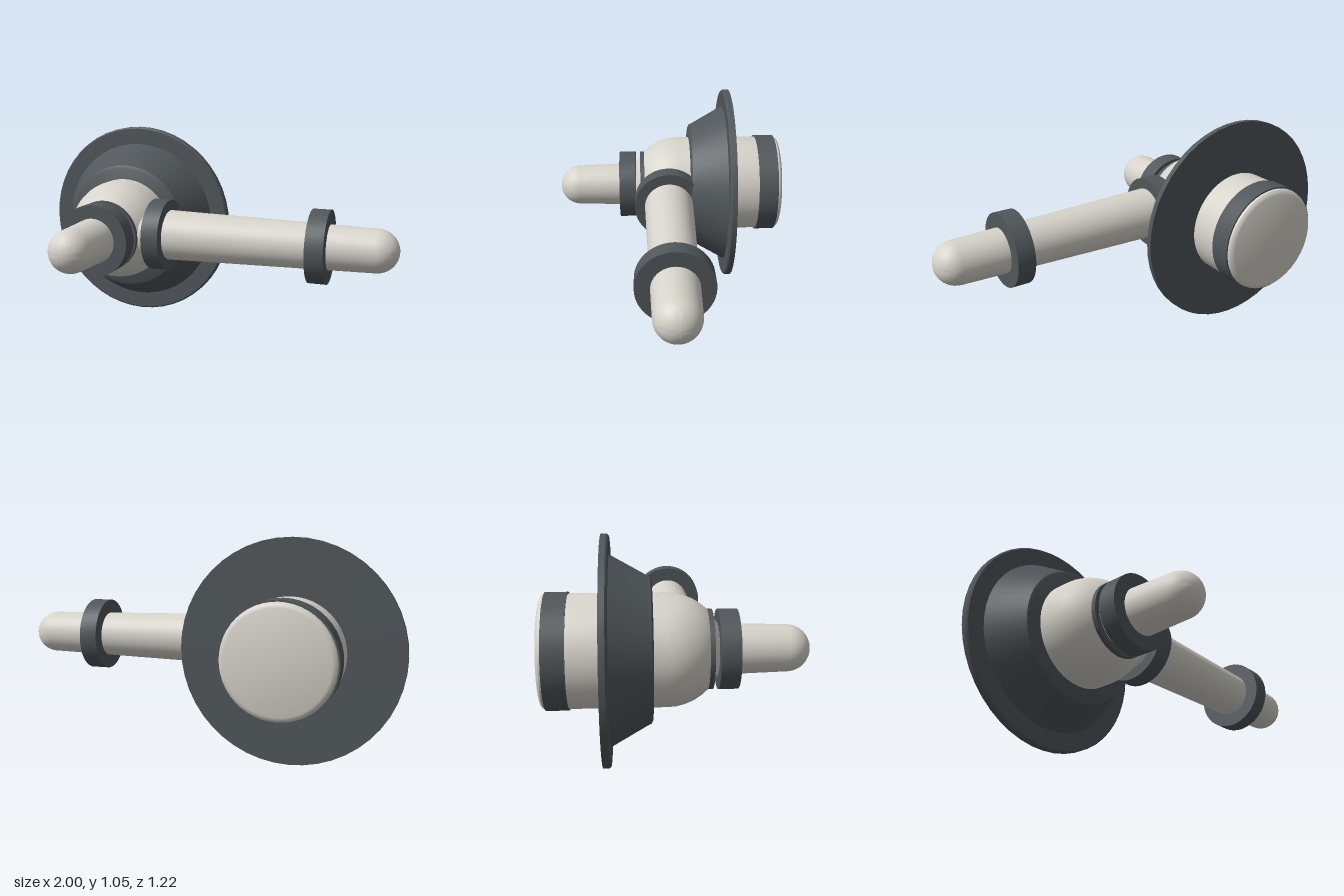
import * as THREE from 'three';
import { toCreasedNormals } from 'three/addons/utils/BufferGeometryUtils.js';

const AXIS_X = -0.477, AXIS_Y = 0.525, LEVER_Z = 0.01;

export function createModel() {
  const group = new THREE.Group();
  const ivory = new THREE.MeshStandardMaterial({ color: 0xd6d3ca });
  ivory.name = 'ivory';
  const slate = new THREE.MeshStandardMaterial({ color: 0x50565a });
  slate.name = 'slate';

  // Revolved part from [radius, distance] pairs, running along +z or +x
  function turned(name, profile, material, axis = 'z') {
    const points = profile.map(([r, d]) => new THREE.Vector2(r, d));
    const geometry = toCreasedNormals(new THREE.LatheGeometry(points, 48), 0.5);
    if (axis === 'z') geometry.rotateX(Math.PI / 2);
    else geometry.rotateZ(-Math.PI / 2);
    const mesh = new THREE.Mesh(geometry, material);
    mesh.name = name;
    mesh.position.set(axis === 'z' ? AXIS_X : 0, AXIS_Y, axis === 'z' ? 0 : LEVER_Z);
    group.add(mesh);
  }

  // Quarter-round profile from radius r at distance d out to the pole
  function dome(r, d, steps = 10) {
    return Array.from({ length: steps + 1 }, (_, i) => {
      const a = (i / steps) * Math.PI / 2;
      return [i === steps ? 0 : r * Math.cos(a), d + r * Math.sin(a)];
    });
  }

  const ring = (r, from, to) => [[0, from], [r, from], [r, to], [0, to]];

  // Valve body with a rounded back edge and domed front
  turned('body', [[0, -0.608], [0.235, -0.608], [0.248, -0.604], [0.257, -0.595], [0.26, -0.583],
    ...dome(0.26, -0.045)], ivory);
  turned('rearBand', ring(0.267, -0.585, -0.482), slate);

  // Wall flange: flat rim, cone and softened front lip
  turned('flange', [[0, -0.332], [0.525, -0.332], [0.525, -0.305], [0.517, -0.297], [0.432, -0.297],
    [0.338, -0.13], [0.333, -0.117], [0.32, -0.11], [0, -0.11]], slate);

  // Front stub with its collars
  turned('neckCollar', ring(0.183, 0.137, 0.162), slate);
  turned('frontCollar', ring(0.183, 0.187, 0.277), slate);
  turned('frontStub', [[0.122, 0.05], ...dome(0.108, 0.502)], ivory);

  // Long side lever with two collars
  turned('lever', [[0.134, -0.4], ...dome(0.107, 0.892)], ivory, 'x');
  for (const x of [-0.255, 0.576]) turned('leverCollar', ring(0.183, x, x + 0.09), slate, 'x');

  return group;
}
